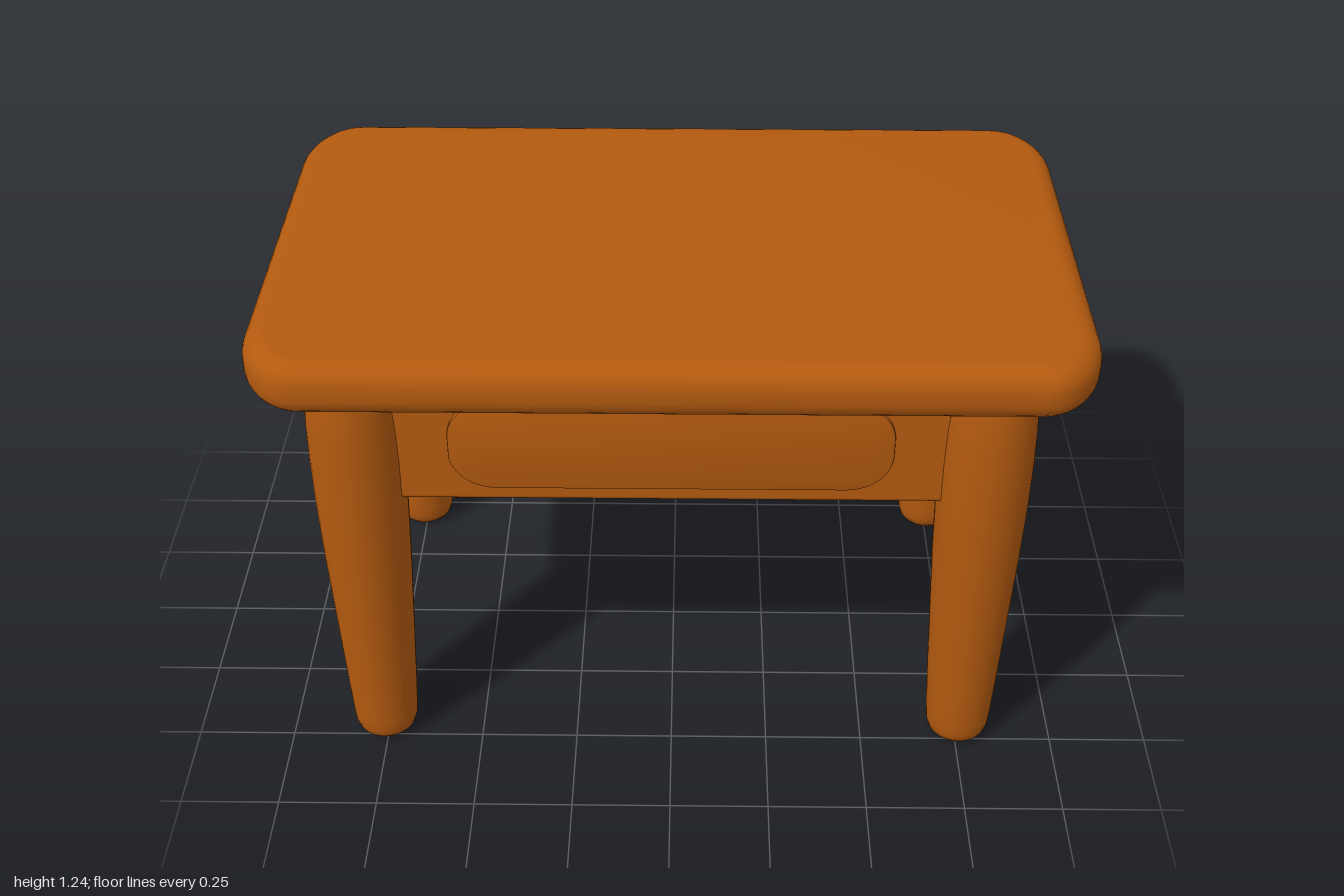
import * as THREE from 'three';
import { toCreasedNormals } from 'three/addons/utils/BufferGeometryUtils.js';
import { RoundedBoxGeometry } from 'three/addons/geometries/RoundedBoxGeometry.js';

// Rounded rectangle with half sizes w, h and elliptical corners rx, ry
function roundedRect(w, h, rx, ry) {
  const k = 0.45; // how far each corner handle sits from the true corner
  const s = new THREE.Shape();
  s.moveTo(-w + rx, -h);
  s.lineTo(w - rx, -h);
  s.bezierCurveTo(w - rx * k, -h, w, -h + ry * k, w, -h + ry);
  s.lineTo(w, h - ry);
  s.bezierCurveTo(w, h - ry * k, w - rx * k, h, w - rx, h);
  s.lineTo(-w + rx, h);
  s.bezierCurveTo(-w + rx * k, h, -w, h - ry * k, -w, h - ry);
  s.lineTo(-w, -h + ry);
  s.bezierCurveTo(-w, -h + ry * k, -w + rx * k, -h, -w + rx, -h);
  return s;
}

// Slab of total thickness t with softly rounded edges, starting at z = 0
function softSlab(w, h, rx, ry, t, bevel, segments) {
  const shape = roundedRect(w - bevel, h - bevel, rx - bevel, ry - bevel);
  const geo = new THREE.ExtrudeGeometry(shape, {
    depth: t - 2 * bevel, bevelEnabled: true, bevelSize: bevel,
    bevelThickness: bevel, bevelSegments: segments, curveSegments: 12,
  });
  geo.translate(0, 0, bevel);
  return toCreasedNormals(geo, 0.7);
}

export function createModel() {
  const table = new THREE.Group();
  table.name = 'table';
  const wood = new THREE.MeshStandardMaterial({ color: 0xb35a0f });
  wood.name = 'warm wood';

  const add = (name, geo, x = 0, y = 0, z = 0) => {
    const mesh = new THREE.Mesh(geo, wood);
    mesh.name = name;
    mesh.position.set(x, y, z);
    table.add(mesh);
    return mesh;
  };

  // Table top, laid flat
  const top = softSlab(1, 0.615, 0.15, 0.2, 0.14, 0.058, 7);
  top.rotateX(-Math.PI / 2);
  add('tableTop', top, 0, 1.1, 0);

  // Drawer box under the top
  add('apron', new RoundedBoxGeometry(1.6, 0.365, 0.99, 3, 0.014), 0, 0.9675, 0);

  // Drawer front, slightly proud of the apron
  add('drawerFront', softSlab(0.53, 0.125, 0.11, 0.1, 0.025, 0.004, 2), 0, 0.955, 0.483);

  // Turned, tapering legs with rounded feet
  const profile = [
    [0, 0], [0.045, 0.001], [0.062, 0.007], [0.074, 0.02], [0.081, 0.042],
    [0.084, 0.075], [0.091, 0.22], [0.1, 0.42], [0.108, 0.6], [0.113, 0.77],
    [0.114, 0.9], [0.112, 1.0], [0.108, 1.07], [0.102, 1.12],
  ].map(([r, y]) => new THREE.Vector2(r, y));
  const leg = new THREE.LatheGeometry(profile, 40);
  for (const [side, x] of [['Left', 0.757], ['Right', -0.757]]) {
    add('front' + side + 'Leg', leg, x, 0, 0.455);
    add('back' + side + 'Leg', leg, x, 0, -0.455);
  }

  return table;
}
